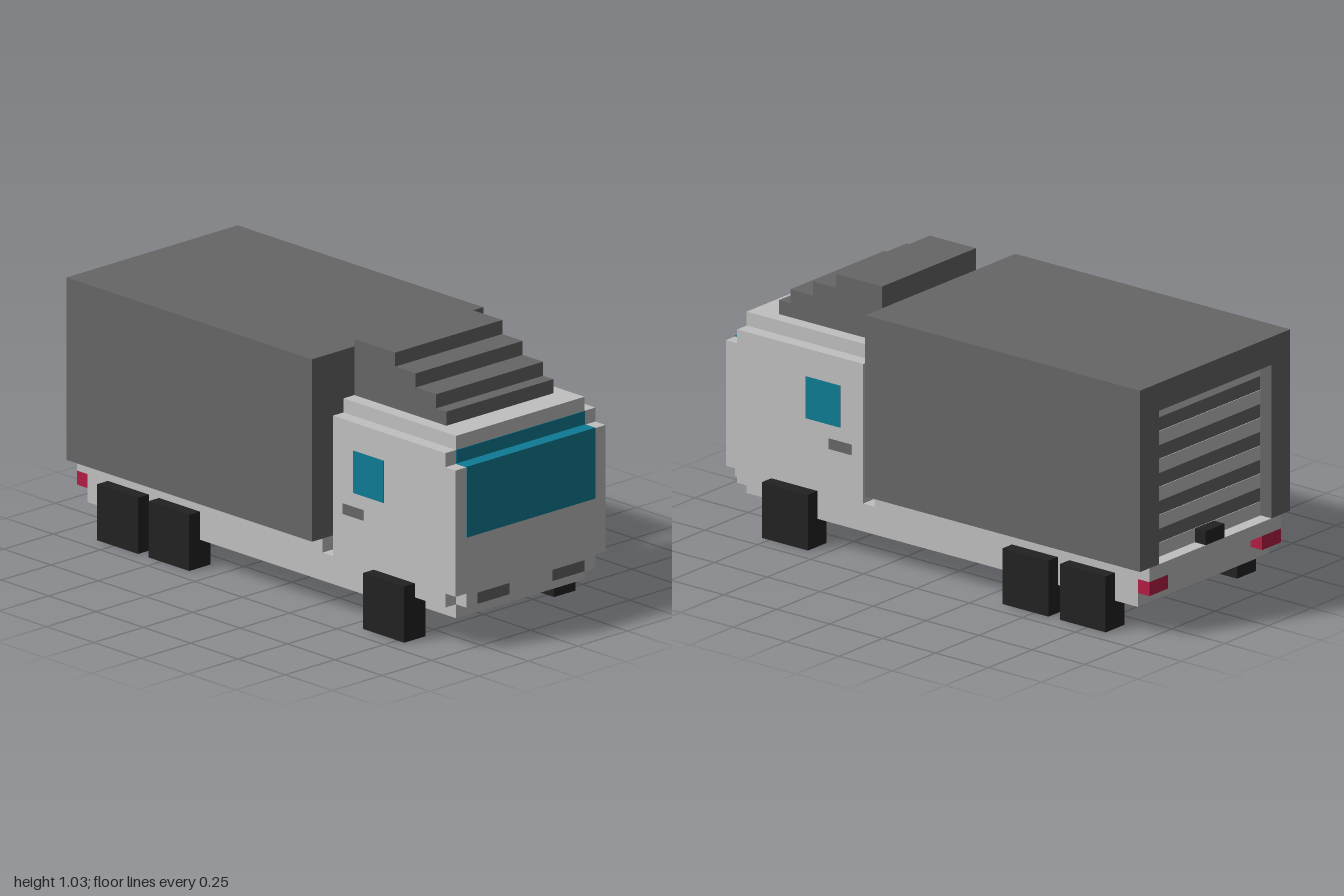
import * as THREE from 'three';

// One block of the blocky grid; the truck is 37 blocks long
const U = 2 / 37;

const mat = (name, color) => {
  const m = new THREE.MeshStandardMaterial({ color });
  m.name = name;
  return m;
};

export function createModel() {
  const truck = new THREE.Group();
  truck.name = 'boxTruck';

  const light = mat('lightGrey', 0xc0c0c0);
  const dark = mat('darkGrey', 0x666666);
  const glass = mat('tealGlass', 0x0e7c95);
  const rubber = mat('blackRubber', 0x222222);
  const red = mat('redLamp', 0xb51d45);

  const add = (name, geometry, material) => {
    const mesh = new THREE.Mesh(geometry, material);
    mesh.name = name;
    truck.add(mesh);
    return mesh;
  };

  // Box given by its limits in blocks
  const block = (name, material, x0, x1, y0, y1, z0, z1) => {
    const g = new THREE.BoxGeometry((x1 - x0) * U, (y1 - y0) * U, (z1 - z0) * U);
    g.translate((x0 + x1) / 2 * U, (y0 + y1) / 2 * U, (z0 + z1) / 2 * U);
    return add(name, g, material);
  };
  const centred = (name, material, w, ...rest) => block(name, material, -w, w, ...rest);
  const pair = (name, material, x0, x1, ...rest) => {
    block(name + 'Left', material, x0, x1, ...rest);
    block(name + 'Right', material, -x1, -x0, ...rest);
  };
  const outline = (points) => new THREE.Shape(points.map(([a, b]) => new THREE.Vector2(a * U, b * U)));

  // Chassis
  centred('chassis', light, 7, 2, 4, -17.5, 14.5);
  centred('chassisDeck', light, 7, 4, 5, -18.5, 5.5);
  centred('chassisNose', light, 6, 2, 3, 14.5, 17.5);
  centred('cabConnector', light, 6, 4, 12, 5.5, 6.5);

  // Cab
  centred('cabBody', light, 7, 4, 14, 6.5, 17.5);
  centred('cabSkirt', light, 7, 3, 4, 14.5, 17.5);
  centred('cabFront', light, 7, 4, 13, 17.5, 18.5);
  centred('frontBumper', light, 6, 3, 4, 17.5, 18.5);
  centred('cabRoof', light, 6, 14, 15, 6.5, 17.5);

  // Stepped wind deflector, side profile extruded across the roof
  const steps = outline([
    [6.5, 15], [15.5, 15], [15.5, 16], [14.5, 16], [14.5, 17],
    [12.5, 17], [12.5, 18], [10.5, 18], [10.5, 19], [6.5, 19],
  ]);
  const deflector = new THREE.ExtrudeGeometry(steps, { depth: 10 * U, bevelEnabled: false });
  deflector.rotateY(-Math.PI / 2);
  deflector.translate(5 * U, 0, 0);
  add('windDeflector', deflector, dark);

  // Windscreen wraps over the step at the top of the cab front
  const T = 0.05;
  centred('windscreen', glass, 6, 8, 13, 18.5 - T, 18.5 + T);
  centred('windscreenStep', glass, 6, 13 - T, 13 + T, 17.5, 18.5 + T);
  centred('windscreenTop', glass, 6, 13, 14, 17.5 - T, 17.5 + T);

  // Cab details
  pair('sideWindow', glass, 7 - T, 7 + T, 9, 12, 8.5, 11.5);
  pair('doorHandle', dark, 7 - T, 7 + T, 7.25, 8, 7.5, 9.5);
  pair('headlight', dark, 2, 5, 3.05, 3.85, 18.5 - T, 18.5 + T);

  // Cargo box with a door frame at the back
  centred('cargoBox', dark, 8, 5, 18, -17.5, 5.5);
  const frame = outline([
    [-8, 5], [-6, 5], [-6, 16], [6, 16], [6, 5], [8, 5], [8, 18], [-8, 18],
  ]);
  const frameGeo = new THREE.ExtrudeGeometry(frame, { depth: U, bevelEnabled: false });
  frameGeo.translate(0, 0, -18.5 * U);
  add('doorFrame', frameGeo, dark);

  // Light slats of the roller door
  for (let y = 5; y < 16; y += 2) {
    centred('doorSlat', light, 6, y, y + 1, -17.5 - T, -17.5 + T);
  }
  centred('doorLatch', rubber, 1, 5, 6, -18.5, -17.5);
  pair('tailLamp', red, 5, 7, 3, 4, -18.5, -17.5);

  // Square wheels, protruding from the chassis sides
  const E = 0.02;
  for (const [name, z] of [['frontWheel', 10.5], ['middleWheel', -10.5], ['rearWheel', -15.5]]) {
    pair(name, rubber, 6, 8, 0, 4, z, z + 4 + (name === 'frontWheel' ? E : 0));
  }

  return truck;
}
